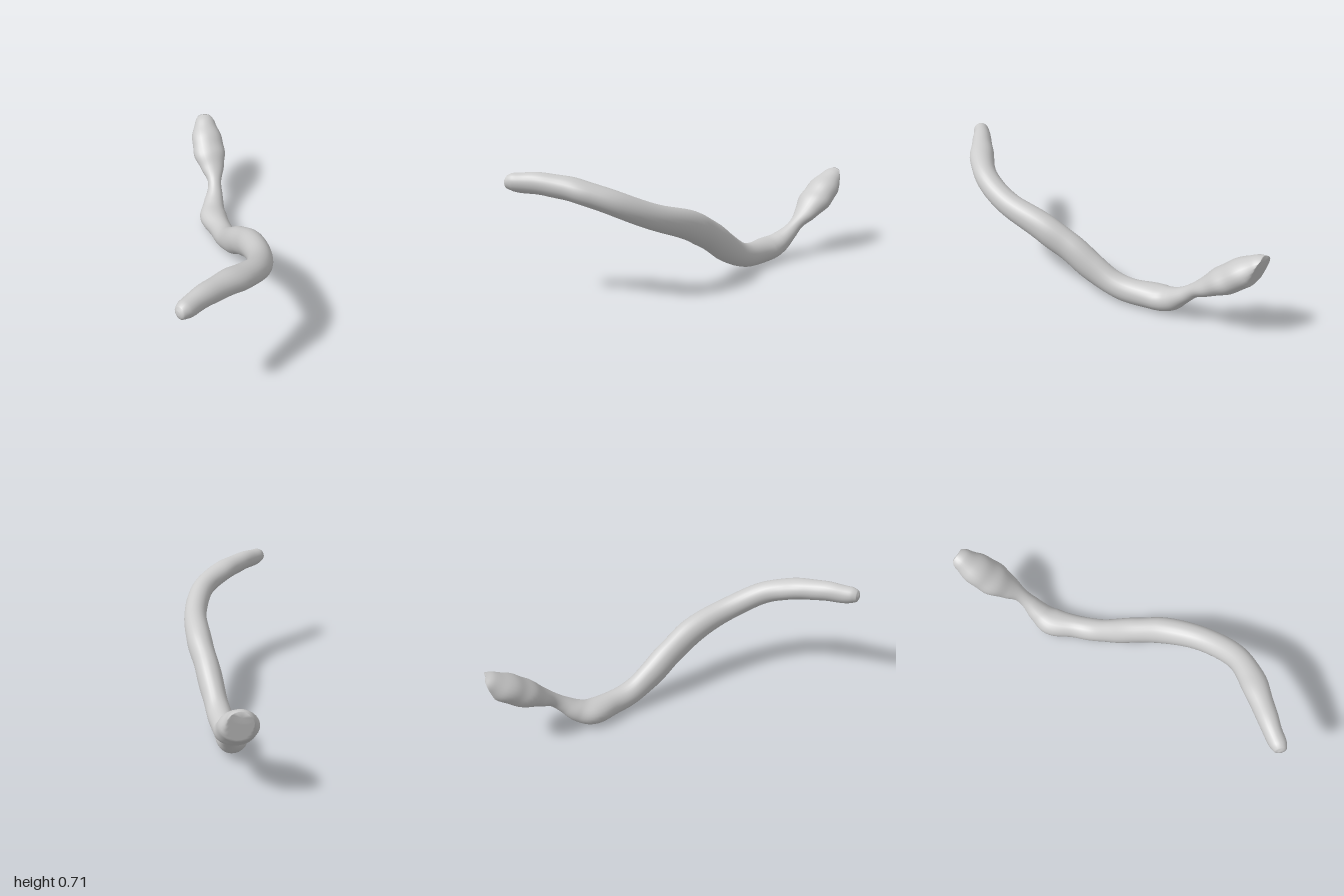
import * as THREE from 'three';

// Stations from tail to head: centre x, y, z, half width, half height
const stations = [
  [0.405, 0.662, 0.996, 0.012, 0.012],
  [0.409, 0.661, 0.985, 0.034, 0.035],
  [0.417, 0.659, 0.95, 0.046, 0.049],
  [0.432, 0.657, 0.87, 0.053, 0.057],
  [0.458, 0.652, 0.77, 0.059, 0.060],
  [0.486, 0.634, 0.66, 0.070, 0.063],
  [0.514, 0.607, 0.55, 0.073, 0.064],
  [0.523, 0.550, 0.40, 0.067, 0.067],
  [0.450, 0.460, 0.20, 0.071, 0.072],
  [0.295, 0.365, 0.00, 0.074, 0.085],
  [0.190, 0.280, -0.10, 0.073, 0.085],
  [0.088, 0.183, -0.20, 0.071, 0.083],
  [0.000, 0.108, -0.29, 0.069, 0.073],
  [-0.092, 0.080, -0.385, 0.072, 0.072],
  [-0.205, 0.077, -0.49, 0.086, 0.072],
  [-0.250, 0.105, -0.575, 0.070, 0.064],
  [-0.277, 0.160, -0.64, 0.050, 0.047],
  [-0.312, 0.215, -0.70, 0.047, 0.040],
  [-0.355, 0.265, -0.755, 0.078, 0.054],
  [-0.405, 0.315, -0.81, 0.102, 0.073],
  [-0.450, 0.362, -0.862, 0.106, 0.080],
  [-0.495, 0.412, -0.915, 0.093, 0.077],
  [-0.530, 0.455, -0.965, 0.070, 0.062],
  [-0.550, 0.480, -1.0, 0.052, 0.046],
];

// Blunt, slanted plane that cuts off the snout
const snoutNormal = new THREE.Vector3(-0.42, -0.3, -1);
const snoutPlane = new THREE.Plane(snoutNormal.clone().normalize(), -1.06 / snoutNormal.length());

function sweepBody(rows, rings, sides) {
  const path = new THREE.CatmullRomCurve3(rows.map(r => new THREE.Vector3(r[0], r[1], r[2])), false, 'centripetal');
  const sizes = new THREE.CatmullRomCurve3(rows.map(r => new THREE.Vector3(r[3], r[4], 0)), false, 'catmullrom', 0.5);
  const positions = [], indices = [];
  const up = new THREE.Vector3(0, 1, 0);

  for (let i = 0; i <= rings; i++) {
    const t = i / rings;
    const centre = path.getPoint(t), size = sizes.getPoint(t), tangent = path.getTangent(t);
    const side = tangent.clone().cross(up).normalize();
    const lift = side.clone().cross(tangent);
    for (let j = 0; j < sides; j++) {
      const a = (j / sides) * Math.PI * 2;
      // slight lumps along the trunk
      const lump = 1 + 0.025 * Math.sin(t * 85 + Math.sin(a) * 1.5);
      const p = centre.clone()
        .addScaledVector(side, Math.cos(a) * size.x * lump)
        .addScaledVector(lift, Math.sin(a) * size.y * lump);
      const beyond = snoutPlane.distanceToPoint(p);
      if (beyond > 0) p.addScaledVector(snoutPlane.normal, -beyond);
      p.y = Math.max(p.y, 0);
      p.z = THREE.MathUtils.clamp(p.z, -1, 1);
      positions.push(p.x, p.y, p.z);
    }
  }
  for (let i = 0; i < rings; i++) {
    for (let j = 0; j < sides; j++) {
      const a = i * sides + j, b = i * sides + (j + 1) % sides;
      indices.push(a, b, a + sides, b, b + sides, a + sides);
    }
  }
  // end caps
  for (const ring of [0, rings]) {
    const centre = new THREE.Vector3();
    for (let j = 0; j < sides; j++) {
      centre.add(new THREE.Vector3().fromArray(positions, (ring * sides + j) * 3));
    }
    centre.divideScalar(sides);
    const c = positions.length / 3;
    positions.push(centre.x, centre.y, centre.z);
    for (let j = 0; j < sides; j++) {
      const a = ring * sides + j, b = ring * sides + (j + 1) % sides;
      if (ring === 0) indices.push(c, b, a);
      else indices.push(c, a, b);
    }
  }
  const geometry = new THREE.BufferGeometry();
  geometry.setAttribute('position', new THREE.Float32BufferAttribute(positions, 3));
  geometry.setIndex(indices);
  geometry.computeVertexNormals();
  return geometry;
}

export function createModel() {
  const group = new THREE.Group();
  group.name = 'snake';
  const material = new THREE.MeshStandardMaterial({ color: 0xcccccc, side: THREE.DoubleSide });
  const body = new THREE.Mesh(sweepBody(stations, 160, 24), material);
  body.name = 'snakeBody';
  group.add(body);
  return group;
}
